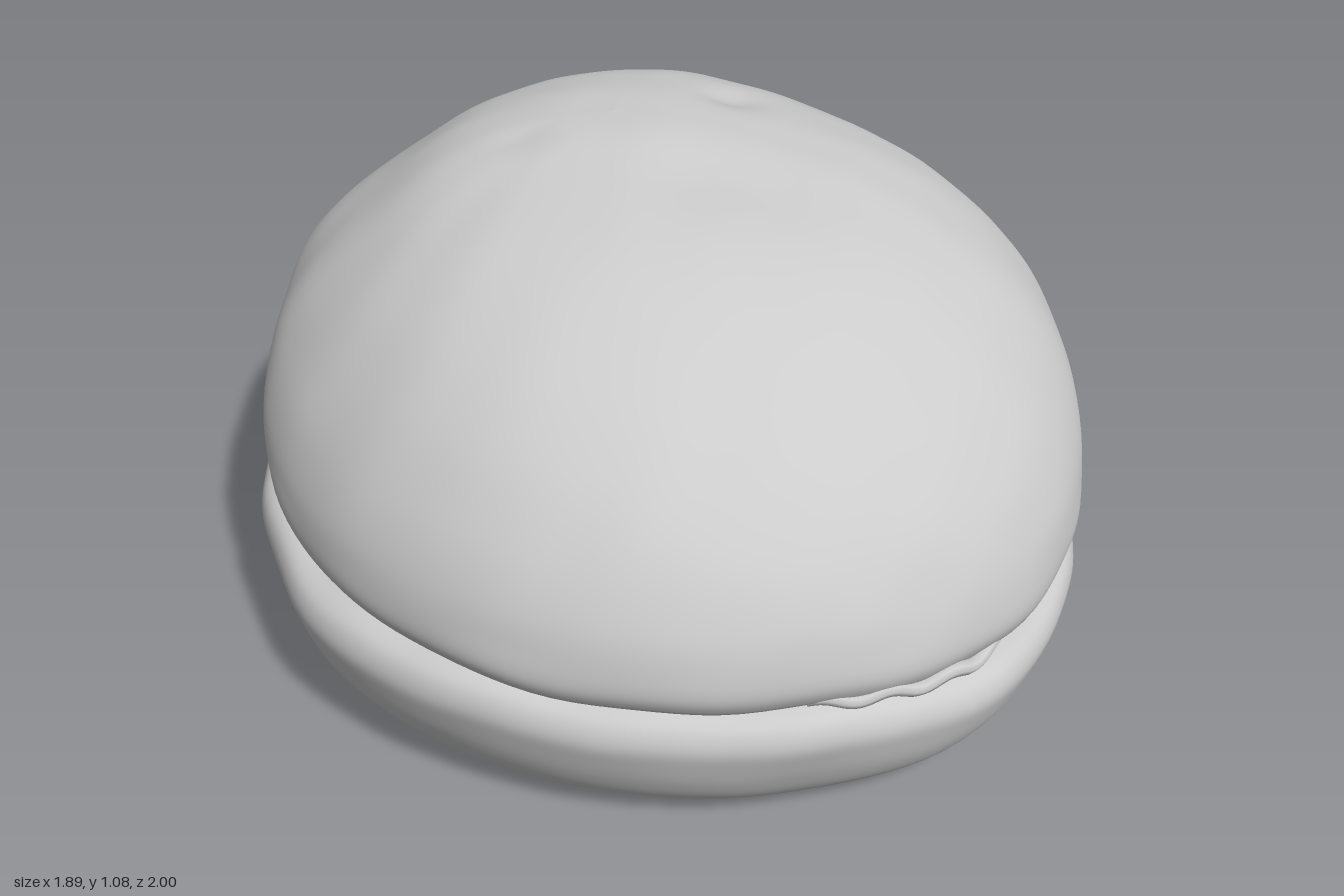
import * as THREE from 'three';

const SEG = 144;
const TAU = Math.PI * 2;
const mat = new THREE.MeshStandardMaterial({ color: 0xcccccc, roughness: 0.8, side: THREE.DoubleSide });

// Smooth closed function of the angle through evenly spaced values (0 = +x, quarter turn = +z)
function around(values) {
  const n = values.length;
  return (a) => {
    const t = ((((a / TAU) % 1) + 1) % 1) * n;
    const i = Math.floor(t), u = t - i;
    const [p, q, r, s] = [-1, 0, 1, 2].map((k) => values[(i + k + n) % n]);
    return q + 0.5 * u * (r - p + u * (2 * p - 5 * q + 4 * r - s + u * (3 * (q - r) + s - p)));
  };
}
// Reach of the lower lip, reach of the dome above it, and height of the seam
const lowerOutline = around([0.925, 0.905, 0.885, 0.935, 1.0, 0.97, 0.945, 0.94,
  0.95, 0.92, 0.915, 0.995, 0.995, 0.965, 0.975, 0.985]);
const upperOutline = around([0.89, 0.89, 0.88, 0.93, 0.965, 0.955, 0.94, 0.925,
  0.905, 0.895, 0.895, 0.965, 0.97, 0.955, 0.96, 0.925]);
const seam = around([0.42, 0.39, 0.36, 0.32, 0.32, 0.34, 0.35, 0.36,
  0.37, 0.39, 0.42, 0.43, 0.45, 0.49, 0.51, 0.46]);

// Wavy pinched edge, rougher toward the back
const rough = (a) => 0.6 + 0.6 * Math.max(0, -Math.sin(a + 0.4));
const seamY = (a) => seam(a) + rough(a) * (0.006 * Math.sin(7 * a + 1) + 0.005 * Math.sin(17 * a));
const lip = (a) => rough(a) * (0.004 * Math.sin(9 * a + 2) + 0.005 * Math.sin(16 * a + 1));

const bump = (x, y, z) => 0.005 * Math.sin(5 * x + 2 * y + 1) * Math.sin(4 * z + 3 * y)
  + 0.003 * Math.sin(11 * x - 6 * z + 2) * Math.sin(9 * y + 7 * z)
  + 0.0015 * Math.sin(23 * x + 9 * z) * Math.sin(19 * y - 17 * z + 1);
const dent = (x, z, cx, cz, w, d) => d * Math.exp(-((x - cx) ** 2 + (z - cz) ** 2) / (w * w));

// Skin of closed rings; place(a, f, h) turns a profile point into a position
function rings(name, profile, steps, place) {
  const curve = new THREE.SplineCurve(profile.map(([f, h]) => new THREE.Vector2(f, h)));
  const pos = [], index = [];
  for (let i = 0; i <= steps; i++) {
    const p = curve.getPoint(i / steps);
    for (let j = 0; j < SEG; j++) {
      const a = (j / SEG) * TAU;
      pos.push(...place(a, Math.max(p.x, 0), p.y));
      if (i === steps) continue;
      const k = i * SEG + j, m = i * SEG + ((j + 1) % SEG);
      index.push(k, k + SEG, m, m, k + SEG, m + SEG);
    }
  }
  const g = new THREE.BufferGeometry();
  g.setAttribute('position', new THREE.Float32BufferAttribute(pos, 3));
  g.setIndex(index);
  g.computeVertexNormals();
  const mesh = new THREE.Mesh(g, mat);
  mesh.name = name;
  return mesh;
}

// Lower half: flat dented base, bulging side, rounded lip rolling into the groove
const lowerProfile = [[0, 0.03], [0.3, 0.03], [0.6, 0.025], [0.74, 0.02], [0.81, 0.05], [0.88, 0.16],
  [0.93, 0.32], [0.965, 0.5], [0.988, 0.68], [1, 0.83], [0.99, 0.95], [0.965, 1.02], [0.92, 1.06], [0.87, 1.07]];
function placeLower(a, f, h) {
  const r = f * lowerOutline(a) + lip(a) * Math.max(0, h - 0.5) * 2;
  const x = r * Math.cos(a), z = r * Math.sin(a);
  let y = h * (seamY(a) - 0.01);
  if (f < 0.74) {
    y += dent(x, z, 0.3, -0.2, 0.07, 0.03) + dent(x, z, -0.1, 0.1, 0.07, 0.03)
      + dent(x, z, -0.35, -0.3, 0.08, 0.025) + dent(x, z, 0.1, 0.45, 0.08, 0.025);
  }
  const b = 1 + bump(x, y, z) * Math.min(1, h * 3);
  return [x * b, Math.max(0, y), z * b];
}

// Upper half: full dome, crown leaning back and rounder behind
const upperProfile = [[0.93, -0.04], [0.965, 0], [0.985, 0.03], [1, 0.08], [0.997, 0.15], [0.978, 0.25],
  [0.935, 0.37], [0.876, 0.48], [0.8, 0.59], [0.702, 0.7], [0.573, 0.81], [0.44, 0.89],
  [0.285, 0.95], [0.14, 0.985], [0, 0.997]];
function placeUpper(a, f, h) {
  const k = Math.max(0, h);
  const back = 0.035 * Math.max(0, -Math.sin(a)) ** 2 * Math.exp(-(((k - 0.5) / 0.22) ** 2));
  const r = f * THREE.MathUtils.lerp(upperOutline(a), 0.935, k) + back + lip(a + 0.15) * Math.max(0, 1 - 6 * k);
  const x = r * Math.cos(a), z = r * Math.sin(a) - 0.2 * k ** 5;
  let y = seamY(a) * (1 - h) + 1.088 * h;
  if (h > 0.5) {
    y -= dent(x, z, 0, 0.1, 0.13, 0.01) + dent(x, z, 0.3, -0.15, 0.06, 0.015)
      + dent(x, z, 0.55, -0.4, 0.1, 0.01) + dent(x, z, -0.2, -0.25, 0.06, 0.008);
  }
  // Pit pressed into the side near the front corner
  const pit = 0.05 * Math.exp(-((x - 0.62) ** 2 + (y - 0.45) ** 2 + (z - 0.61) ** 2) / 0.0012);
  const b = 1 + bump(x, y, z) * Math.min(1, k * 4) - pit;
  return [x * b, y + bump(z, x, y) * k, z * b];
}

// Pinched folds of dough lying along the groove, sinking in at both ends
function fold(a0, a1, dy, thickness) {
  const points = [];
  for (let i = 0; i <= 24; i++) {
    const a = a0 + ((a1 - a0) * i) / 24;
    const r = upperOutline(a) * 0.985 + lip(a) - 0.03 * Math.abs(i / 12 - 1) ** 3;
    points.push(new THREE.Vector3(r * Math.cos(a), seamY(a) + dy + 0.008 * Math.sin(i * 0.9), r * Math.sin(a)));
  }
  const mesh = new THREE.Mesh(
    new THREE.TubeGeometry(new THREE.CatmullRomCurve3(points), 60, thickness, 8), mat);
  mesh.name = 'seamFold';
  return mesh;
}

export function createModel() {
  const group = new THREE.Group();
  group.name = 'bun';
  group.add(rings('lowerBun', lowerProfile, 64, placeLower));
  group.add(rings('upperBun', upperProfile, 72, placeUpper));

  for (const [a0, a1, dy, t] of [[4.9, 5.9, 0.02, 0.02], [5.9, 6.5, 0.02, 0.02],
    [3.7, 4.7, 0.02, 0.018], [1.5, 2.0, 0.01, 0.016]]) {
    group.add(fold(a0, a1, dy, t));
  }

  // Small uneven rim around the pit
  const rim = new THREE.Mesh(new THREE.TorusGeometry(0.032, 0.011, 8, 24), mat);
  rim.name = 'pitRim';
  rim.position.set(0.617, 0.45, 0.609);
  rim.rotation.set(-0.15, Math.PI / 4, 0, 'YXZ');
  rim.scale.y = 1.15;
  group.add(rim);
  return group;
}
